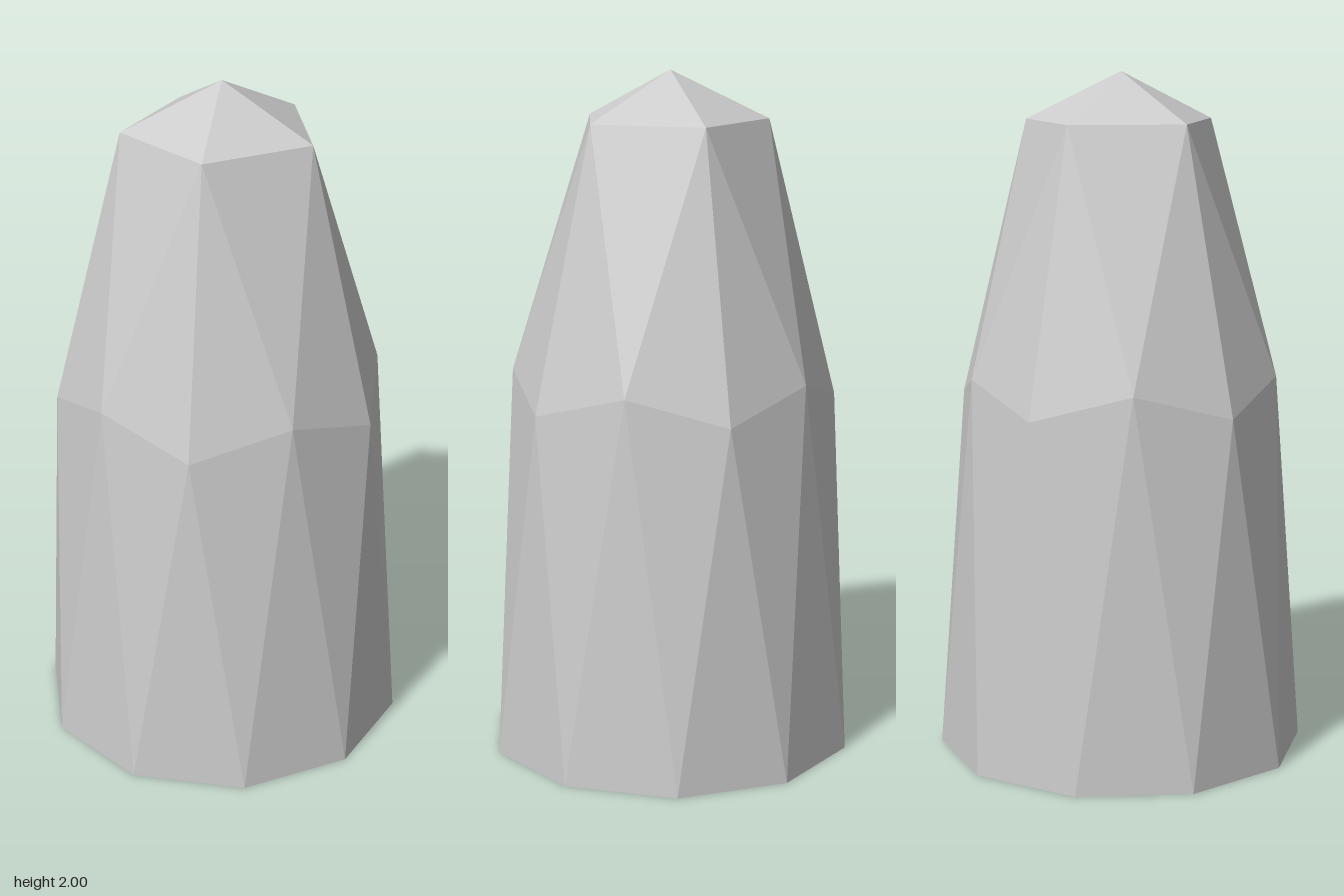
import * as THREE from 'three';

// Point on a horizontal ring; the angle is in degrees from +x towards +z
function ringPoint(radius, y, degrees) {
  const a = THREE.MathUtils.degToRad(degrees);
  return new THREE.Vector3(radius * Math.cos(a), y, radius * Math.sin(a));
}

function facetedGeometry(triangles) {
  const geometry = new THREE.BufferGeometry().setFromPoints(triangles.flat());
  geometry.computeVertexNormals();
  return geometry;
}

export function createModel() {
  const stone = new THREE.MeshStandardMaterial({ color: 0xcccccc, flatShading: true });
  stone.name = 'grey stone';

  // Rings from top to bottom; the middle one alternates low corners and high corners
  const apex = new THREE.Vector3(0, 2, 0);
  const upper = Array.from({ length: 5 }, (_, i) => ringPoint(0.285, 1.86, i * 72));
  const middle = Array.from({ length: 10 }, (_, i) =>
    i % 2 ? ringPoint(0.463, 1.13, i * 36) : ringPoint(0.485, 1.05, i * 36));
  const base = Array.from({ length: 10 }, (_, i) => ringPoint(0.542, 0, 18 + i * 36));

  const tip = [], shoulder = [], body = [], bottom = [];
  for (let i = 0; i < 5; i++) {
    const a = upper[i], b = upper[(i + 1) % 5];
    const before = middle[(2 * i + 9) % 10], under = middle[2 * i], after = middle[2 * i + 1];
    tip.push([apex, b, a]);
    shoulder.push([b, after, a], [a, after, under], [a, under, before]);
  }
  const centre = new THREE.Vector3();
  for (let i = 0; i < 10; i++) {
    const next = (i + 1) % 10;
    body.push([middle[next], base[i], middle[i]], [middle[next], base[next], base[i]]);
    bottom.push([centre, base[i], base[next]]);
  }

  const model = new THREE.Group();
  model.name = 'stonePillar';
  for (const [name, triangles] of Object.entries({ tip, shoulder, body, bottom })) {
    const mesh = new THREE.Mesh(facetedGeometry(triangles), stone);
    mesh.name = name;
    model.add(mesh);
  }
  return model;
}
